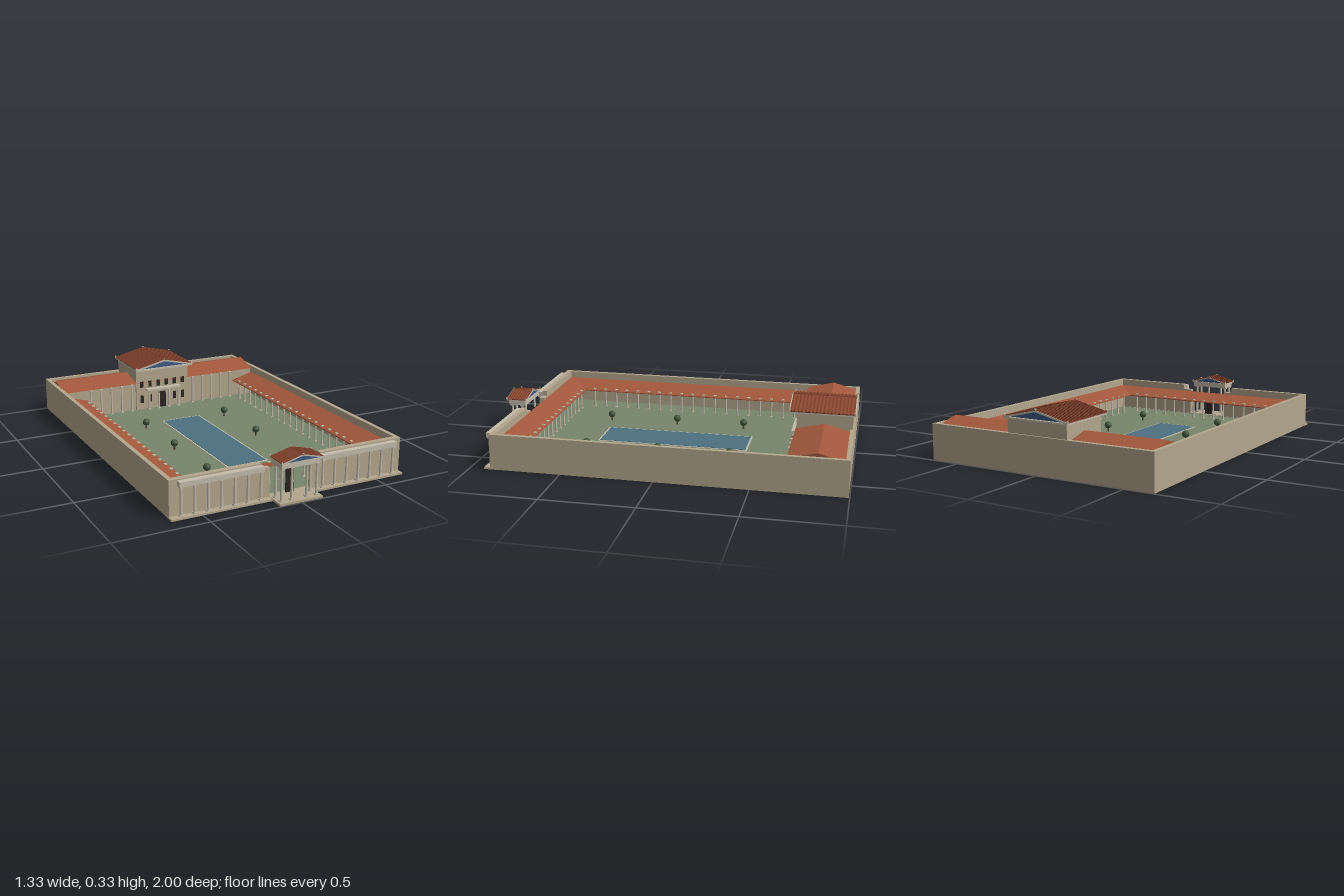
import * as THREE from 'three';

const mat = (color, extra = {}) => new THREE.MeshStandardMaterial({ color, ...extra });
const M = {
  stone: mat(0xb3a68d), pale: mat(0xc4bcab), roof: mat(0xa2583c, { side: THREE.DoubleSide }),
  tile: mat(0x8f4a32), rib: mat(0x7d3e2a), grass: mat(0x76866a), water: mat(0x4c7080),
  blue: mat(0x3f5b86), dark: mat(0x2b2522), leaf: mat(0x3f5638), trunk: mat(0x5b4632),
};

export function createModel() {
  const root = new THREE.Group();
  const add = (name, geo, m, parent = root) => {
    const mesh = new THREE.Mesh(geo, m);
    mesh.name = name;
    parent.add(mesh);
    return mesh;
  };
  // box given by its limits
  const box = (name, m, x0, x1, y0, y1, z0, z1, parent = root) => {
    const b = add(name, new THREE.BoxGeometry(x1 - x0, y1 - y0, z1 - z0), m, parent);
    b.position.set((x0 + x1) / 2, (y0 + y1) / 2, (z0 + z1) / 2);
    return b;
  };
  // four-cornered roof plane
  const quad = (name, p, parent = root) => {
    const g = new THREE.BufferGeometry();
    g.setAttribute('position', new THREE.Float32BufferAttribute(p.flat(), 3));
    g.setIndex([0, 1, 2, 0, 2, 3]);
    g.computeVertexNormals();
    return add(name, g, M.roof, parent);
  };
  // column with base, tapered shaft and capital
  const column = (name, x, y0, y1, z, r, parent = root) => {
    const c = new THREE.Group();
    c.name = name;
    c.position.set(x, y0, z);
    const h = y1 - y0;
    add('columnShaft', new THREE.CylinderGeometry(r * 0.8, r, h, 10), M.pale, c).position.y = h / 2;
    add('columnBase', new THREE.BoxGeometry(r * 2.6, r, r * 2.6), M.pale, c).position.y = r / 2;
    add('columnCapital', new THREE.BoxGeometry(r * 2.6, r, r * 2.6), M.pale, c).position.y = h - r / 2;
    parent.add(c);
  };
  // pitched roof with ridge along z, blue pediments, raking cornices and tile ribs
  const gable = (name, w, y0, y1, z0, z1, step, t) => {
    const g = new THREE.Group();
    g.name = name;
    root.add(g);
    const d = z1 - z0, zc = (z0 + z1) / 2, rise = y1 - y0 - t;
    const tri = new THREE.Shape([[-w * 0.95, 0], [w * 0.95, 0], [0, rise]].map(p => new THREE.Vector2(...p)));
    const inset = d * 0.04;
    add('pediment', new THREE.ExtrudeGeometry(tri, { depth: d - 2 * inset, bevelEnabled: false }), M.blue, g)
      .position.set(0, y0, z0 + inset);
    box('pedimentCornice', M.pale, -w, w, y0 - t * 0.6, y0 + t * 0.5, z0, z1, g);
    const len = Math.hypot(w, rise), ang = Math.atan2(rise, w);
    for (const s of [-1, 1]) {
      const side = new THREE.Group();
      side.name = 'roofSlope';
      side.position.set(s * w / 2, y0 + rise / 2 + t * 0.4, zc);
      side.rotation.z = -s * ang;
      g.add(side);
      add('roofSlab', new THREE.BoxGeometry(len, t, d * 0.97), M.tile, side);
      for (const e of [-1, 1])
        add('rakingCornice', new THREE.BoxGeometry(len, t * 1.1, d * 0.015), M.pale, side).position.z = e * d * 0.4925;
      const n = Math.round(d / step);
      for (let i = 0; i < n; i++)
        add('tileRib', new THREE.BoxGeometry(len, t * 0.5, step * 0.4), M.rib, side)
          .position.set(0, t * 0.7, -d / 2 + (i + 0.5) * d / n);
      // corner ornaments
      for (const z of [z0 + t / 2, z1 - t / 2]) box('cornerOrnament', M.pale, s * w - t * 0.5, s * w + t * 0.5, y0, y0 + t * 2.2, z - t / 2, z + t / 2, g);
    }
    box('ridge', M.rib, -t * 0.5, t * 0.5, y1 - t * 0.6, y1 + t * 0.2, z0, z1, g);
    for (const z of [z0 + t / 2, z1 - t / 2]) box('ridgeOrnament', M.pale, -t * 0.5, t * 0.5, y1 - t, y1 + t * 0.9, z - t / 2, z + t / 2, g);
  };

  // ground, pool
  box('courtLawn', M.grass, -0.655, 0.655, 0, 0.008, -0.985, 0.885);
  box('frontPlinth', M.stone, -0.665, 0.665, 0, 0.01, 0.85, 0.92);
  box('poolBorder', M.pale, -0.124, 0.124, 0.002, 0.011, -0.41, 0.45);
  box('poolWater', M.water, -0.115, 0.115, 0.004, 0.0125, -0.4, 0.44);

  // enclosing walls
  box('backWall', M.stone, -0.663, 0.663, 0, 0.195, -0.995, -0.972);
  for (const s of [-1, 1]) {
    const span = (name, m, a, b, ...r) => box(name, m, Math.min(s * a, s * b), Math.max(s * a, s * b), ...r);
    span('sideWall', M.stone, 0.64, 0.663, 0, 0.195, -0.995, 0.885);
    span('frontWall', M.stone, 0.17, 0.663, 0, 0.195, 0.855, 0.885);
    span('gateWall', M.stone, 0.12, 0.17, 0, 0.165, 0.855, 0.885);
    span('frontEntablature', M.pale, 0.165, 0.62, 0.162, 0.188, 0.88, 0.917);
    for (let i = 0; i < 7; i++) column('frontColumn', s * (0.178 + i * 0.0715), 0.01, 0.163, 0.902, 0.0075);

    // side colonnade
    quad('sideColonnadeRoof', [[s * 0.64, 0.155, -0.68], [s * 0.64, 0.155, 0.855], [s * 0.5, 0.118, 0.715], [s * 0.5, 0.118, -0.68]]);
    span('sideBeam', M.roof, 0.5, 0.506, 0.113, 0.118, -0.68, 0.715);
    for (let i = 0; i < 19; i++) column('sideCourtColumn', s * 0.516, 0.008, 0.127, -0.61 + i * 0.0705, 0.006);

    // trees
    for (const z of [-0.335, 0.067, 0.475]) {
      const tree = new THREE.Group();
      tree.name = 'tree';
      tree.position.set(s * 0.26, 0.008, z);
      root.add(tree);
      add('treeTrunk', new THREE.CylinderGeometry(0.004, 0.005, 0.026, 6), M.trunk, tree).position.y = 0.013;
      add('treeCrown', new THREE.IcosahedronGeometry(0.021, 1), M.leaf, tree).position.y = 0.04;
    }
  }

  // front colonnade
  quad('frontColonnadeRoof', [[-0.64, 0.155, 0.855], [0.64, 0.155, 0.855], [0.5, 0.118, 0.715], [-0.5, 0.118, 0.715]]);
  box('frontBeam', M.roof, -0.5, 0.5, 0.113, 0.118, 0.715, 0.721);
  for (let i = 0; i < 14; i++) column('frontCourtColumn', -0.455 + i * 0.07, 0.008, 0.127, 0.731, 0.006);

  // rear wing with long pitched roof
  box('rearWing', M.stone, -0.64, 0.64, 0, 0.176, -0.972, -0.695);
  const ridge = [[-0.645, 0.217, -0.835], [0.645, 0.217, -0.835]];
  for (const z of [-0.975, -0.68])
    quad('rearWingRoof', [[-0.645, 0.18, z], [0.645, 0.18, z], ridge[1], ridge[0]]);
  for (const s of [-1, 1]) {
    const end = new THREE.Shape([new THREE.Vector2(-0.14, 0), new THREE.Vector2(0.14, 0), new THREE.Vector2(0, 0.039)]);
    const e = add('rearWingGable', new THREE.ExtrudeGeometry(end, { depth: 0.01, bevelEnabled: false }), M.roof);
    e.rotation.y = Math.PI / 2;
    e.position.set(s * 0.635 - 0.005, 0.176, -0.832);
    for (let i = 0; i < 5; i++) column('rearWingColumn', s * (0.21 + i * 0.067), 0.008, 0.178, -0.68, 0.006);
  }

  // main hall with windows, door and small porch
  box('mainHall', M.stone, -0.177, 0.177, 0, 0.272, -0.985, -0.685);
  for (let i = 0; i < 6; i++) {
    const x = -0.14 + i * 0.056;
    box('upperWindow', M.dark, x - 0.011, x + 0.011, 0.15, 0.188, -0.69, -0.682);
    if (i < 2 || i > 3) box('lowerWindow', M.dark, x - 0.011, x + 0.011, 0.05, 0.098, -0.69, -0.682);
  }
  box('hallDoor', M.dark, -0.022, 0.022, 0.008, 0.11, -0.69, -0.681);
  for (const x of [-0.1, -0.035, 0.035, 0.1]) column('hallPorchColumn', x, 0.008, 0.135, -0.66, 0.007);
  box('hallPorchBeam', M.pale, -0.115, 0.115, 0.132, 0.142, -0.69, -0.652);
  gable('mainHallRoof', 0.188, 0.272, 0.324, -0.998, -0.642, 0.02, 0.008);

  // entrance portico
  box('porticoBase', M.stone, -0.122, 0.122, 0, 0.012, 0.87, 0.995);
  for (const z of [0.91, 0.968])
    for (const x of [-0.1, -0.043, 0.043, 0.1])
      if (z > 0.95 || Math.abs(x) > 0.05) column('porticoColumn', x, 0.012, 0.188, z, 0.0075);
  box('porticoEntablature', M.pale, -0.112, 0.112, 0.187, 0.214, 0.885, 0.985);
  gable('porticoRoof', 0.117, 0.216, 0.252, 0.877, 0.999, 0.015, 0.006);
  box('gateDoor', M.dark, -0.022, 0.022, 0.01, 0.14, 0.872, 0.88);

  return root;
}
